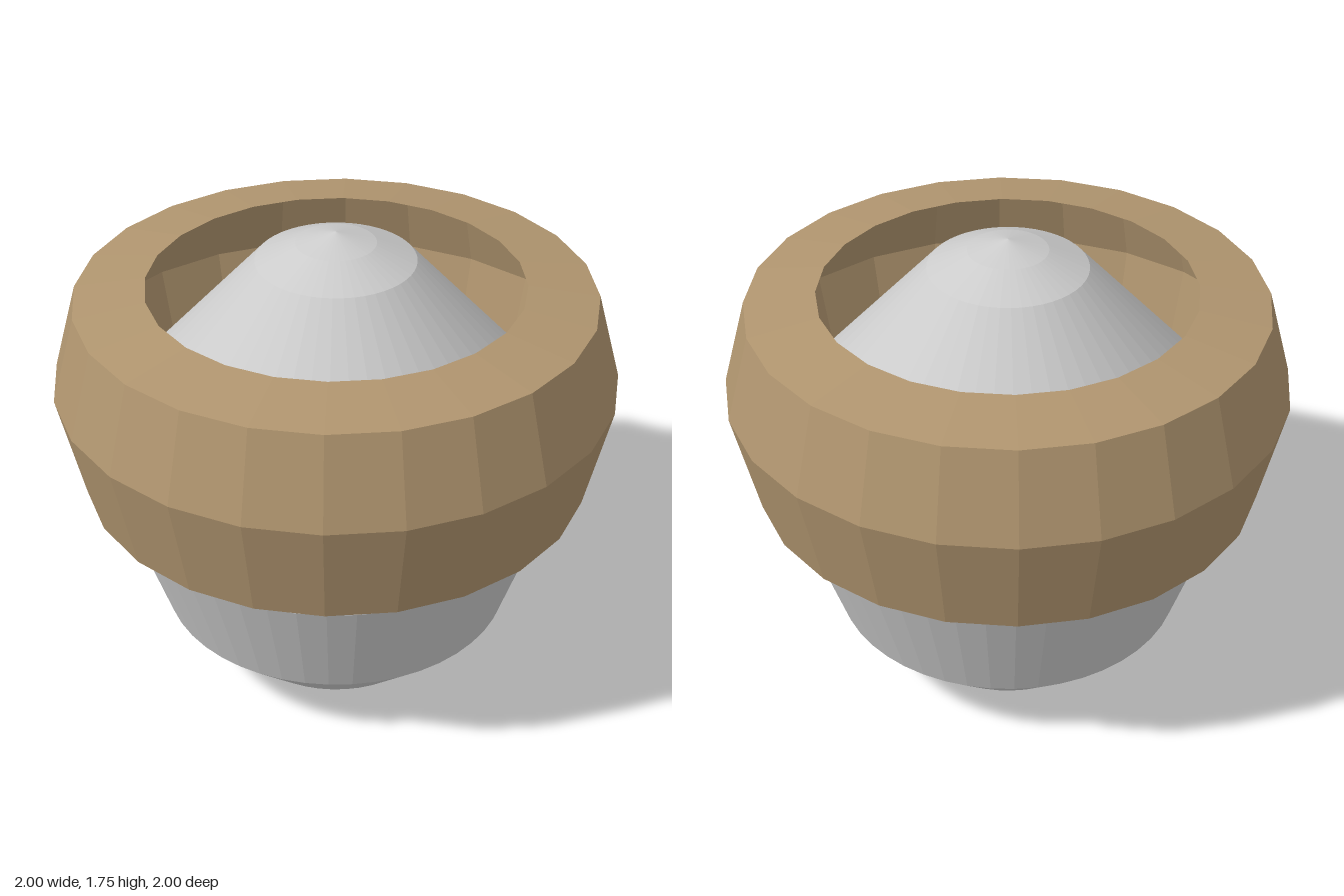
import * as THREE from 'three';

// Revolves a profile of [radius, height] pairs, listed from bottom to top.
function revolve(name, profile, sides, color) {
  const points = profile.map(([r, y]) => new THREE.Vector2(r, y));
  const material = new THREE.MeshStandardMaterial({ color, flatShading: true, side: THREE.DoubleSide });
  const mesh = new THREE.Mesh(new THREE.LatheGeometry(points, sides), material);
  mesh.name = name;
  return mesh;
}

export function createModel() {
  const group = new THREE.Group();
  group.name = 'ringedCapsule';

  // Closed body: shallow foot, flared bowl, hidden shoulder and conical dome
  group.add(revolve('body', [
    [0, 0], [0.39, 0.04], [0.645, 0.285], [0.785, 0.71],
    [0.72, 1.155], [0.28, 1.64], [0.14, 1.705], [0, 1.745],
  ], 48, 0xcccccc));

  // Hollow faceted collar, open towards the body
  group.add(revolve('collar', [
    [0.765, 0.772], [0.913, 0.81], [1, 1.2], [0.913, 1.515], [0.663, 1.552],
  ], 24, 0xb0956f));

  return group;
}
